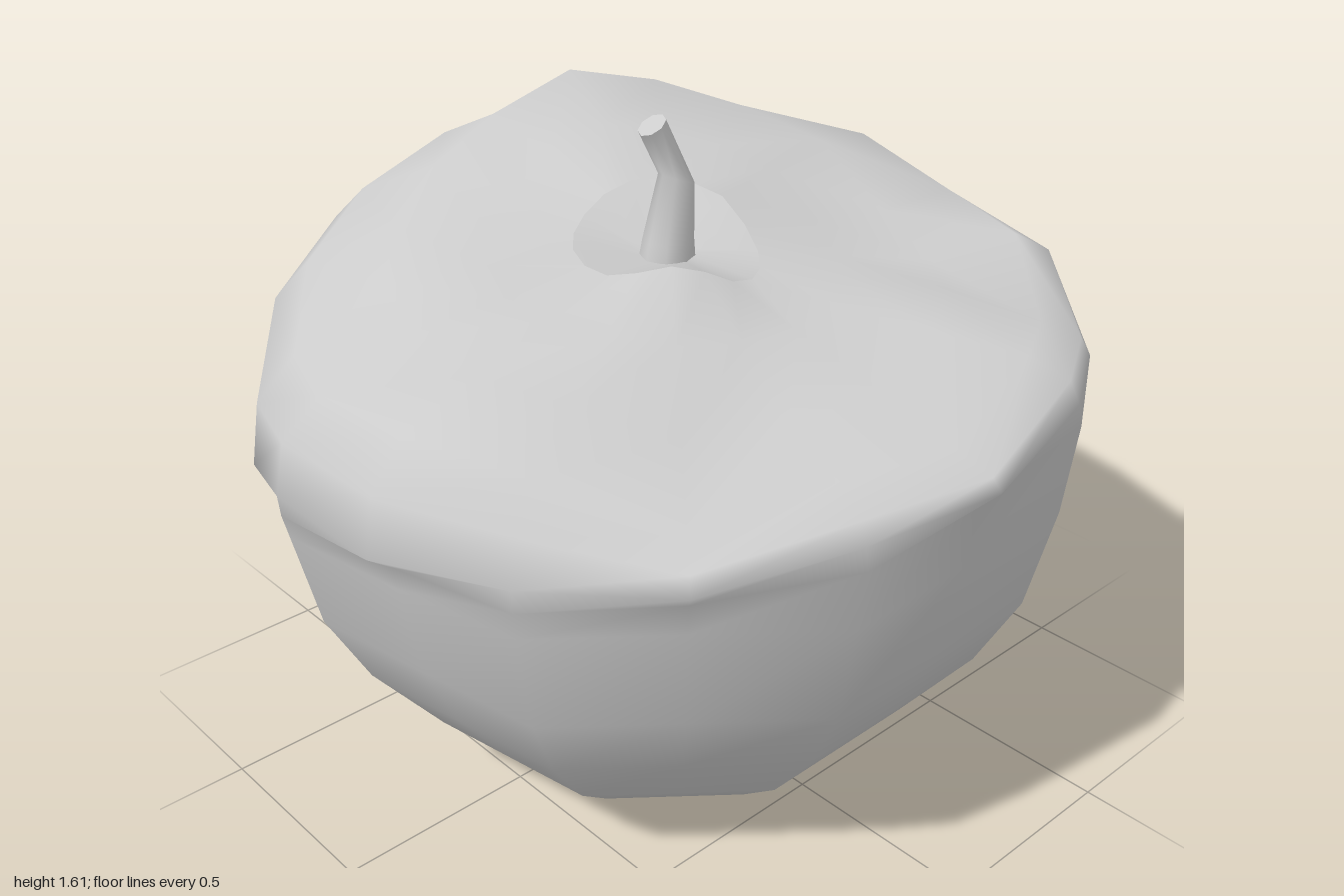
import * as THREE from 'three';

const material = new THREE.MeshStandardMaterial({ color: 0xcccccc });

// Skin a stack of closed rings, listed bottom to top (or outside to inside on top).
function loft(name, rings) {
  const n = rings[0].length, index = [];
  for (let i = 0; i < rings.length - 1; i++) {
    for (let j = 0; j < n; j++) {
      const k = (j + 1) % n, a = i * n, b = a + n;
      index.push(a + j, b + j, a + k, a + k, b + j, b + k);
    }
  }
  const geometry = new THREE.BufferGeometry();
  geometry.setAttribute('position', new THREE.Float32BufferAttribute(rings.flat(2), 3));
  geometry.setIndex(index);
  geometry.computeVertexNormals();
  const mesh = new THREE.Mesh(geometry, material);
  mesh.name = name;
  return mesh;
}

// Ring of n points; radius and height may vary with the point number.
function ring(n, radius, height, z = 0) {
  const value = (v, j) => (typeof v === 'function' ? v(j) : v);
  return Array.from({ length: n }, (_, j) => {
    const t = (j / n) * Math.PI * 2, r = value(radius, j);
    return [Math.cos(t) * r, value(height, j), z + Math.sin(t) * r];
  });
}

// Heights every 20 degrees, starting at +x and turning toward +z.
const LIP = [1.04, 1.03, 0.96, 0.95, 0.92, 0.92, 0.82, 0.95, 1.06, 1.20, 1.20, 1.18, 1.15, 1.14, 1.08, 1.12, 1.06, 1.10];
const SHOULDER = [1.10, 1.12, 1.04, 1.14, 1.16, 1.14, 1.10, 1.21, 1.29, 1.36, 1.39, 1.43, 1.34, 1.34, 1.26, 1.25, 1.15, 1.20];
const CROWN = [1.16, 1.13, 1.13, 1.19, 1.21, 1.23, 1.26, 1.31, 1.38, 1.46, 1.54, 1.50, 1.44, 1.38, 1.25, 1.20, 1.22, 1.21];
const INNER = [1.27, 1.31, 1.33, 1.31, 1.29, 1.29, 1.30, 1.31, 1.33, 1.36, 1.38, 1.38, 1.37, 1.35, 1.30, 1.26, 1.25, 1.25];

export function createModel() {
  const group = new THREE.Group();
  const n = 18;
  const mix = (a, b, t) => a + (b - a) * t;
  // Nine-sided outline (every second point is mid-side), dented around one corner
  const outline = (r, y, j) => {
    const dent = 0.115 * Math.max(0, 1 - Math.abs(j - 7) / 2) * THREE.MathUtils.smoothstep(y, 0.15, 0.6);
    return r * (1 - dent) * (j % 2 ? 1 : Math.cos(Math.PI / 9));
  };
  const wallRing = (height) => ring(n, (j) => outline(Math.min(1, 0.92 + 0.22 * (height(j) - 0.58)), height(j), j), height);

  // Nine-sided bowl with a wavy overhanging lip and an uneven top
  const bowl = [[0.32, 0], [0.49, 0.04], [0.65, 0.18], [0.82, 0.39], [0.92, 0.58]];
  const body = bowl.map(([r, y]) => ring(n, (j) => outline(r, y, j), y));
  body.push(
    wallRing((j) => Math.min(0.84, LIP[j] - 0.1)),
    wallRing((j) => LIP[j] - 0.04),
    ring(n, 0.99, (j) => LIP[j] + 0.01),
    ring(n, 0.965, (j) => mix(LIP[j], SHOULDER[j], 0.6)),
    ring(n, 0.87, (j) => SHOULDER[j]),
    ring(n, 0.65, (j) => CROWN[j]),
    ring(n, 0.42, (j) => mix(CROWN[j], INNER[j], 0.5)),
    ring(n, 0.22, (j) => INNER[j]),
  );
  group.add(loft('body', body));

  // Shallow hollow around the stem
  group.add(loft('hollow', [
    ring(n, 0.22, (j) => INNER[j]),
    ring(n, 0.06, 1.27),
    ring(n, 0, 1.26),
  ]));

  // Flat underside
  const base = new THREE.Mesh(new THREE.CircleGeometry(0.32, 9, Math.PI), material);
  base.rotation.x = Math.PI / 2;
  base.name = 'base';
  group.add(base);

  // Bent, tapering stem with a slanted cut end
  const tilt = (y, slope) => (j) => y + slope * Math.sin(j * Math.PI / 4);
  const tip = ring(8, 0.032, tilt(1.59, -0.018), 0.045);
  group.add(loft('stem', [
    ring(8, 0.068, 1.25),
    ring(8, 0.06, 1.31, -0.005),
    ring(8, 0.042, tilt(1.45, 0.015), -0.03),
    tip,
  ]));
  group.add(loft('stemTip', [tip, ring(8, 0, 1.59, 0.045)]));

  return group;
}
